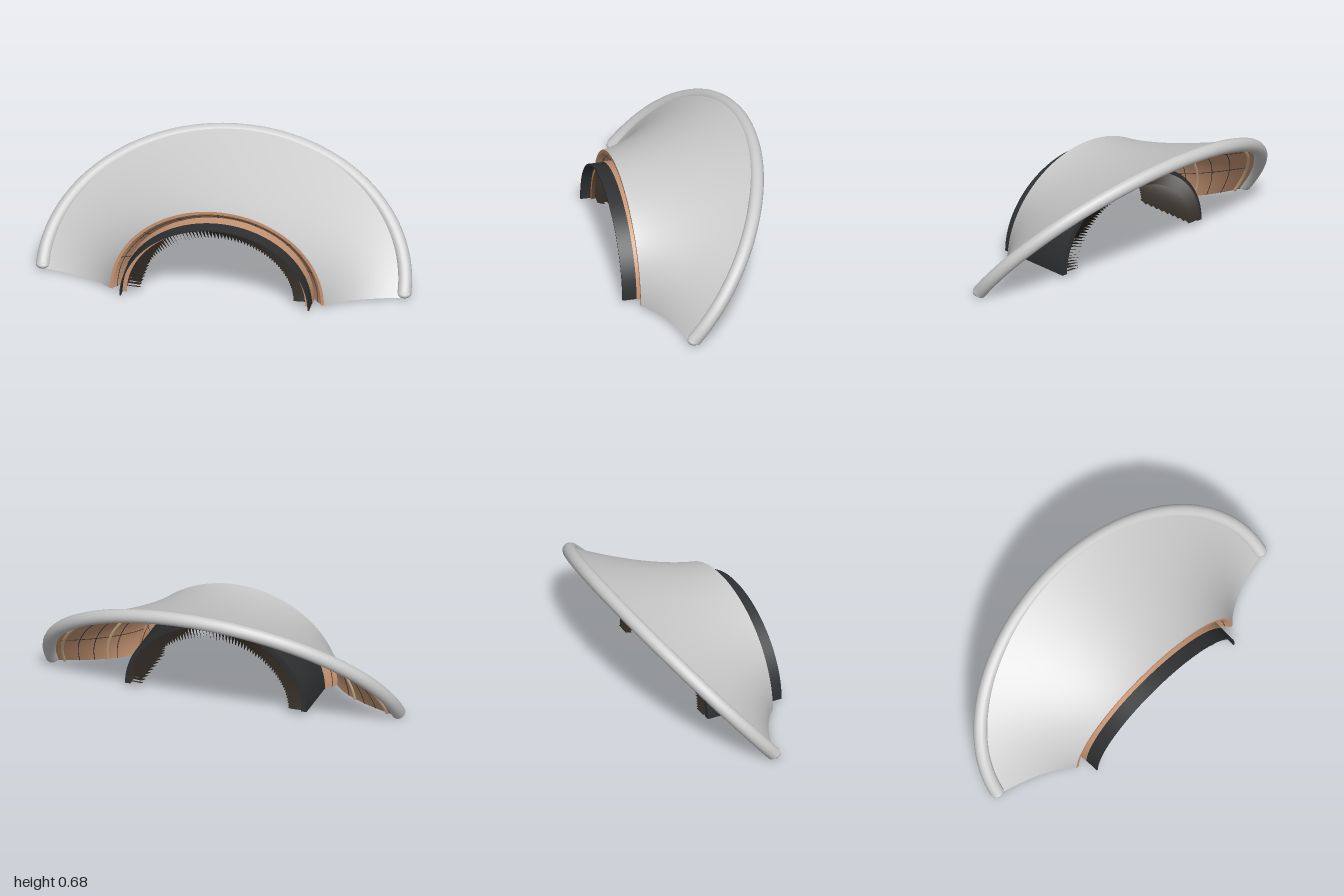
import * as THREE from 'three';
import { ParametricGeometry } from 'three/addons/geometries/ParametricGeometry.js';

const mat = (color) => new THREE.MeshStandardMaterial({ color, side: THREE.DoubleSide });
const grey = mat(0xcccccc), tan = mat(0xc89674), cream = mat(0xd8b890);
const dark = mat(0x2e3032), brown = mat(0x5a4232), bladeMat = mat(0x2e2822);

// Point on the flared arch: t = angle from the left foot, s = 0 front .. 1 rear rim, inset = distance inside
function flare(t, s, inset, out) {
  const c = Math.cos(t), n = Math.sin(t);
  const a = (1 - s) ** 2, b = 2 * s * (1 - s), d = s * s;
  return out.set(
    c * (a * 0.57 + b * 0.67 + d * 0.95 - inset),
    a * 0.015 + b * 0.01 + d * 0.005 + n * (a * 0.5 + b * 0.505 + d * 0.655 - inset),
    a * 0.33 + b * (0.22 - 0.12 * n) + d * (0.15 - 0.5 * n) - inset * s
  );
}

// Point on a straight elliptical arch standing at y = 0.02
function arch(t, rx, ry, z, out) {
  return out.set(rx * Math.cos(t), 0.02 + ry * Math.sin(t), z);
}

// Point on the sloping flange: v = 0 at the collar .. 1 at the shell's front edge
function flange(t, v, out) {
  return arch(t, 0.505 + 0.049 * v, 0.43 + 0.049 * v, 0.27 + 0.06 * v, out);
}

export function createModel() {
  const group = new THREE.Group();
  const add = (name, geo, material) => {
    const mesh = new THREE.Mesh(geo, material);
    mesh.name = name;
    group.add(mesh);
    return mesh;
  };
  // Surface over the arch angle (u) and a second parameter (v)
  const surface = (name, material, fn, stacks = 1) =>
    add(name, new ParametricGeometry((u, v, p) => fn(Math.PI * (1 - u), v, p), 80, stacks), material);
  // Tube through the points of a function of 0..1
  const tube = (name, material, radius, fn, segments = 80, sides = 6) => {
    const pts = [];
    for (let i = 0; i <= 32; i++) pts.push(fn(i / 32, new THREE.Vector3()));
    return add(name, new THREE.TubeGeometry(new THREE.CatmullRomCurve3(pts), segments, radius, sides), material);
  };

  // Outer shell and its inner lining
  surface('shell', grey, (t, v, p) => flare(t, v, 0, p), 24);
  surface('lining', tan, (t, v, p) => flare(t, v, 0.016, p), 24);
  surface('liningFrontEdge', tan, (t, v, p) => flare(t, 0, 0.016 * v, p));
  // Narrow strips closing the bottom edges between shell and lining
  for (const t of [0, Math.PI]) {
    add('shellBottomEdge', new ParametricGeometry((u, v, p) => flare(t, u, 0.016 * v, p), 16, 1), grey);
  }

  // Rolled rear rim with rounded feet
  const rim = (u, p) => {
    const t = Math.PI * u, n = Math.sin(t);
    return p.set(0.963 * Math.cos(t), 0.022 + 0.615 * n, 0.135 - 0.512 * n);
  };
  tube('rim', grey, 0.037, rim, 120, 16);
  for (const side of [-1, 1]) {
    const foot = add('rimFoot', new THREE.SphereGeometry(0.036, 16, 10), grey);
    foot.scale.y = 0.6;
    foot.position.set(side * 0.963, 0.022, 0.133);
  }

  // Piping and panel seams on the lining
  for (const s of [0.48, 0.94]) {
    tube('piping', cream, 0.008, (u, p) => flare(Math.PI * u, s, 0.02, p));
  }
  for (const s of [0.35, 0.63, 0.79]) {
    tube('liningSeam', dark, 0.002, (u, p) => flare(Math.PI * u, s, 0.017, p), 80, 4);
  }
  for (let i = 1; i < 10; i++) {
    tube('panelSeam', dark, 0.002, (u, p) => flare((Math.PI * i) / 10, 0.95 * u, 0.017, p), 24, 4);
  }

  // Flange sloping back from the shell's front edge to the collar, with its seams
  surface('frontFlange', tan, flange);
  tube('flangeSeam', dark, 0.002, (u, p) => flange(Math.PI * u, 0.6, p), 80, 4);
  for (let i = 1; i < 8; i++) {
    tube('flangePanelSeam', dark, 0.002, (u, p) => flange((Math.PI * i) / 8, u, p), 4, 4);
  }

  // Dark collar, ringed by a thin trim
  surface('collar', dark, (t, v, p) => arch(t, 0.505, 0.43, 0.415 - 0.435 * v, p));
  surface('collarInside', dark, (t, v, p) => arch(t, 0.497, 0.422, 0.415 - 0.435 * v, p));
  surface('collarFront', dark, (t, v, p) => arch(t, 0.497 + 0.008 * v, 0.422 + 0.008 * v, 0.415, p));
  surface('collarRear', dark, (t, v, p) => arch(t, 0.475 + 0.03 * v, 0.402 + 0.028 * v, -0.02, p));
  surface('collarTrim', tan, (t, v, p) => arch(t, 0.508, 0.433, 0.34 - 0.07 * v, p));

  // Sleeve inside the collar
  surface('sleeve', brown, (t, v, p) => arch(t, 0.485 - 0.01 * v, 0.411 - 0.009 * v, 0.36 - 0.38 * v, p));
  surface('sleeveFront', tan, (t, v, p) => arch(t, 0.475 + 0.022 * v, 0.401 + 0.021 * v, 0.361, p));

  // Twisted blades lining the bore, cut off level at both feet
  const twist = 0.4, low = 0.02, high = Math.PI - 0.02;
  for (let i = 1; i < 82; i++) {
    const rear = low + ((high - low + twist) * i) / 82;
    const from = Math.max(0, (rear - high) / twist);
    const to = Math.min(1, (rear - low) / twist);
    add('blade', new ParametricGeometry((u, v, p) => {
      const w = from + (to - from) * u;
      return arch(rear - twist * w, 0.484 - 0.074 * v, 0.41 - 0.065 * v, -0.037 + 0.38 * w, p);
    }, 10, 1), bladeMat);
  }

  return group;
}
